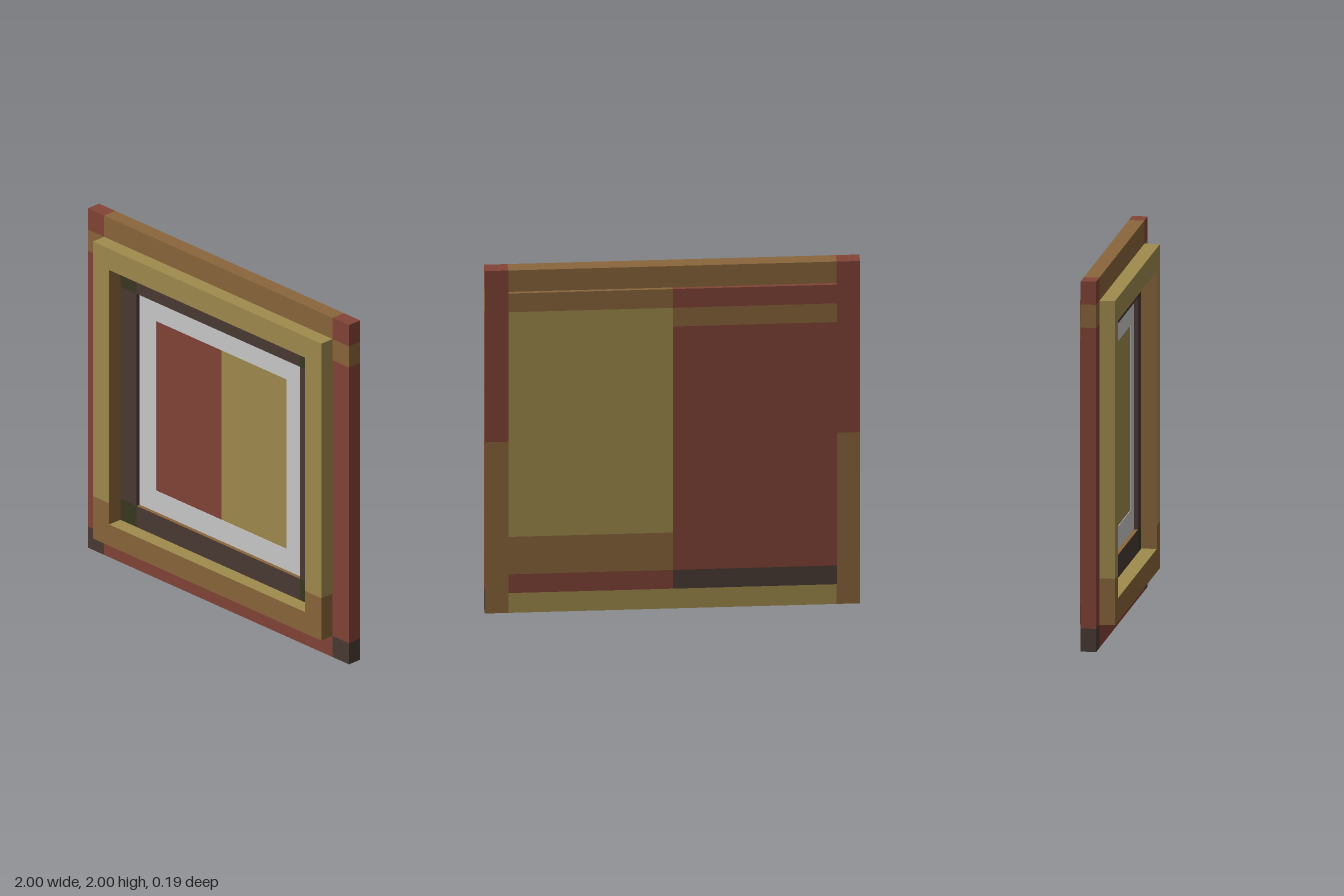
import * as THREE from 'three';

const mat = (name, color) => {
  const m = new THREE.MeshStandardMaterial({ color });
  m.name = name;
  return m;
};

export function createModel() {
  const red = mat('red wood', 0x824436);
  const yellow = mat('ochre wood', 0x9f8b4d);
  const brown = mat('brown wood', 0x8a653b);
  const dark = mat('dark wood', 0x4a3a34);
  const green = mat('dark green', 0x393820);
  const white = mat('pale mount', 0xcacaca);

  const model = new THREE.Group();
  const group = (name) => {
    const g = new THREE.Group();
    g.name = name;
    model.add(g);
    return g;
  };
  // Box from its limits; faces overrides the colour of single sides
  const order = ['px', 'nx', 'py', 'ny', 'pz', 'nz'];
  const block = (parent, name, [x0, x1], [y0, y1], [z0, z1], base, faces = {}) => {
    const mats = Object.keys(faces).length ? order.map((f) => faces[f] || base) : base;
    const mesh = new THREE.Mesh(new THREE.BoxGeometry(x1 - x0, y1 - y0, z1 - z0), mats);
    mesh.position.set((x0 + x1) / 2, (y0 + y1) / 2, (z0 + z1) / 2);
    mesh.name = name;
    parent.add(mesh);
  };
  // Limits of a span on the side s = 1 or -1
  const span = (s, a, b) => (s > 0 ? [a, b] : [-b, -a]);

  const zBack = -0.094, zFrameBack = -0.073, zFrame = 0.0104, zFront = 0.094;
  const zMount = -0.0115, zPanel = -0.0145;

  // Outer frame: top and bottom rails, stiles in coloured sections
  const outer = group('outerFrame');
  const zo = [zFrameBack, zFrame];
  block(outer, 'topRail', [-0.875, 0.875], [1.875, 2], zo, brown);
  block(outer, 'bottomRail', [-0.875, 0.875], [0, 0.125], zo, red, { nz: yellow, ny: brown });
  const stile = [
    [0, 0.125, dark, { nz: brown, ny: red }],
    [0.125, 1, red, { nz: brown }],
    [1, 1.75, red, {}],
    [1.75, 1.875, brown, { nz: red }],
    [1.875, 2, red, {}],
  ];
  for (const s of [1, -1])
    for (const [y0, y1, m, f] of stile)
      block(outer, 'stile', span(s, 0.875, 1), [y0, y1], zo, m, f);

  // Raised moulding in front of the outer frame
  const raised = group('raisedMoulding');
  const zr = [zFrame, zFront];
  block(raised, 'mouldingTop', [-0.75, 0.75], [1.75, 1.875], zr, yellow);
  block(raised, 'mouldingBottom', [-0.75, 0.75], [0.125, 0.25], zr, brown, { py: yellow });
  for (const s of [1, -1]) {
    const inner = { [s > 0 ? 'nx' : 'px']: brown };
    block(raised, 'mouldingSide', span(s, 0.75, 0.875), [0.375, 1.875], zr, yellow, inner);
    block(raised, 'mouldingFoot', span(s, 0.75, 0.875), [0.125, 0.375], zr, brown);
  }

  // Dark inner frame with green corners
  const inner = group('innerFrame');
  const zi = [zMount, zFrame];
  block(inner, 'innerTop', [-0.625, 0.625], [1.625, 1.75], zi, dark);
  block(inner, 'innerBottom', [-0.625, 0.625], [0.25, 0.375], zi, dark, { py: brown });
  for (const s of [1, -1]) {
    block(inner, 'innerSide', span(s, 0.625, 0.75), [0.375, 1.625], zi, dark);
    for (const y of [0.25, 1.625])
      block(inner, 'innerCorner', span(s, 0.625, 0.75), [y, y + 0.125], zi, green);
  }

  // Pale mount: flat sheet with a square window
  const sheet = new THREE.Shape([[-0.875, 0.125], [0.875, 0.125], [0.875, 1.875], [-0.875, 1.875]]
    .map(([x, y]) => new THREE.Vector2(x, y)));
  sheet.holes.push(new THREE.Path([[-0.5, 0.5], [-0.5, 1.5], [0.5, 1.5], [0.5, 0.5]]
    .map(([x, y]) => new THREE.Vector2(x, y))));
  const mount = new THREE.Mesh(
    new THREE.ExtrudeGeometry(sheet, { depth: zMount - zPanel, bevelEnabled: false }), white);
  mount.position.z = zPanel;
  mount.name = 'mount';
  model.add(mount);

  // Back board in two halves, each with cross bands counted in sixteenths from the bottom
  const board = group('backBoard');
  const halves = [
    [[-0.875, 0], [[0, 1, dark], [1, 14, red], [14, 15, brown], [15, 16, red]]],
    [[0, 0.875], [[0, 1, red], [1, 3, brown], [3, 15, yellow], [15, 16, brown]]],
  ];
  const yAt = (n) => 0.125 + (n * 1.75) / 16;
  for (const [x, bands] of halves)
    for (const [a, b, m] of bands)
      block(board, 'boardBand', x, [yAt(a), yAt(b)], [zBack, zPanel], m);

  return model;
}
